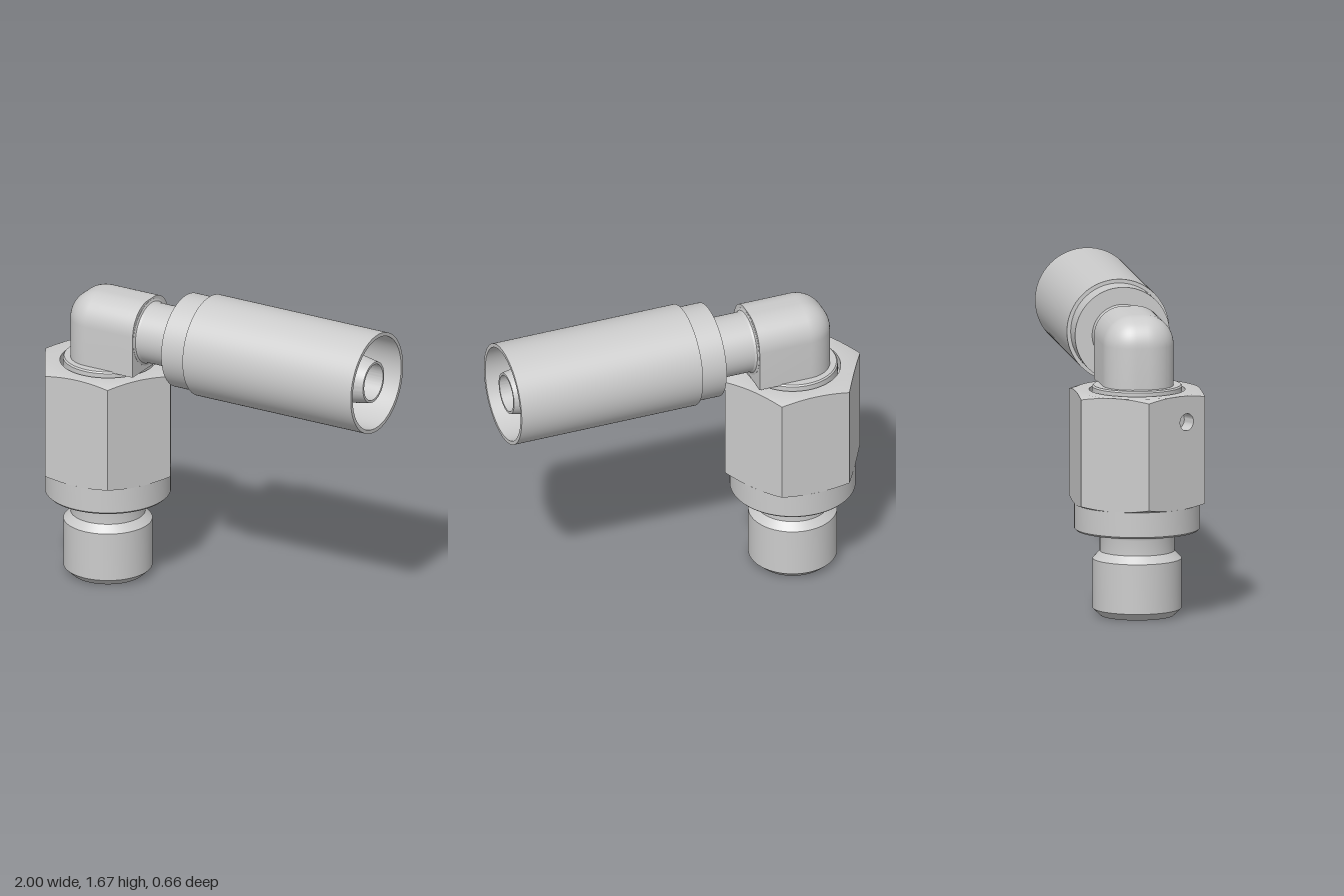
import * as THREE from 'three';
import { toCreasedNormals } from 'three/addons/utils/BufferGeometryUtils.js';
import { RoundedBoxGeometry } from 'three/addons/geometries/RoundedBoxGeometry.js';

const material = new THREE.MeshStandardMaterial({ color: 0xcccccc });
const AXIS_X = -0.622;   // vertical axis of the nut and threaded stub
const AXIS_Y = 1.4;      // horizontal axis of the hose end
const FLAT = 0.327;      // centre of the nut to each flat
const STEPS = 16;        // divisions along each flat
const CREASE = 0.45;

function part(name, geometry) {
  const mesh = new THREE.Mesh(toCreasedNormals(geometry, CREASE), material);
  mesh.name = name;
  return mesh;
}

function lathe(points, segments = 96) {
  return new THREE.LatheGeometry(points.map(([r, y]) => new THREE.Vector2(r, y)), segments);
}

// Turned part on the vertical axis
function upright(name, points) {
  const mesh = part(name, lathe(points));
  mesh.position.x = AXIS_X;
  return mesh;
}

// Turned part on the horizontal axis, profile given as [radius, x]
function sideways(name, points) {
  const mesh = part(name, lathe(points));
  mesh.rotation.z = -Math.PI / 2;
  mesh.position.y = AXIS_Y;
  return mesh;
}

// Height lost to the conical chamfer at a given radius
const chamferDrop = (r) => Math.max(0, r - FLAT) * 0.35;

// End face of the nut: the outer ring follows the hexagon and the chamfer cone
function nutEnd(name, points, y, sign) {
  const geometry = lathe(points, STEPS * 6);
  const pos = geometry.attributes.position;
  for (let i = 0; i < pos.count; i++) {
    const x = pos.getX(i), z = pos.getZ(i);
    if (Math.hypot(x, z) < FLAT + 0.01) continue;
    const a = Math.atan2(x, z), sector = Math.PI / 3;
    const r = FLAT / Math.cos(a - Math.round(a / sector) * sector);
    pos.setXYZ(i, r * Math.sin(a), y - sign * chamferDrop(r), r * Math.cos(a));
  }
  return part(name, geometry);
}

function createNut() {
  const nut = new THREE.Group();
  nut.name = 'hexNut';
  nut.position.x = AXIS_X;
  const bottom = 0.59, top = 1.19;
  const holeR = 0.045, holeU = 0.066, holeY = 1.05;

  // Six flats with arched ends, one of them drilled
  for (let k = 0; k < 6; k++) {
    const edge = (y, sign) => Array.from({ length: STEPS + 1 }, (_, i) => {
      const u = sign * FLAT * Math.tan((i / STEPS - 0.5) * Math.PI / 3);
      return new THREE.Vector2(u, y + sign * chamferDrop(Math.hypot(u, FLAT)));
    });
    const shape = new THREE.Shape([...edge(bottom, 1), ...edge(top, -1)]);
    const drilled = k === 5;
    if (drilled) shape.holes.push(new THREE.Path().absarc(holeU, holeY, holeR, 0, Math.PI * 2, true));
    const flat = part('nutFlat', new THREE.ShapeGeometry(shape, 16).translate(0, 0, FLAT));
    flat.rotation.y = k * Math.PI / 3;
    nut.add(flat);
    if (drilled) {
      const hole = part('drilledHole', lathe([[holeR, 0], [holeR, -0.075], [0, -0.075]], 32));
      hole.rotation.x = Math.PI / 2;
      hole.position.set(holeU, holeY, FLAT);
      flat.add(hole);
    }
  }
  nut.add(
    nutEnd('nutTop', [[0.4, top], [FLAT, top], [0.25, top], [0.25, 1.12], [0.2, 1.12]], top, 1),
    nutEnd('nutUnderside', [[0.2, bottom], [FLAT, bottom], [0.4, bottom]], bottom, -1),
  );
  return nut;
}

// Rounded block whose right end and underside are cut flat
function createElbow() {
  const r = 0.155, right = -0.365, bottom = 1.208;
  const min = new THREE.Vector3(AXIS_X - 0.185, bottom - r, -0.185);
  const max = new THREE.Vector3(right + r, 1.587, 0.185);
  const size = max.clone().sub(min), mid = min.clone().add(max).multiplyScalar(0.5);
  const geometry = new RoundedBoxGeometry(size.x, size.y, size.z, 8, r);
  geometry.translate(mid.x, mid.y, mid.z);
  const pos = geometry.attributes.position;
  for (let i = 0; i < pos.count; i++) {
    pos.setX(i, Math.min(pos.getX(i), right));
    pos.setY(i, Math.max(pos.getY(i), bottom));
  }
  return part('elbowBody', geometry);
}

export function createModel() {
  const model = new THREE.Group();
  model.name = 'elbowHoseFitting';

  // Threaded stub with bore, relief neck, fillet and sealing collar
  const fillet = [0, 1, 2, 3, 4].map((i) => {
    const a = i * Math.PI / 8;
    return [0.225 - 0.03 * Math.cos(a), 0.42 + 0.03 * Math.sin(a)];
  });
  model.add(upright('threadedStub', [
    [0, 1.1], [0.097, 1.1], [0.097, 0], [0.192, 0], [0.232, 0.038], [0.232, 0.3],
    [0.195, 0.34], ...fillet, [0.318, 0.45], [0.328, 0.46], [0.328, 0.592], [0.2, 0.592],
  ]));

  model.add(createNut());
  model.add(upright('swivelRing', [[0.235, 1.12], [0.235, 1.207], [0.228, 1.215], [0, 1.215]]));
  model.add(createElbow());

  // Pipe between the elbow and the sleeve
  model.add(sideways('pipe', [[0.178, -0.37], [0.178, -0.364], [0.166, -0.359], [0.16, -0.348], [0.16, -0.15]]));

  // Crimp sleeve, open at its end
  model.add(sideways('crimpSleeve', [
    [0.15, -0.155], [0.25, -0.155], [0.25, -0.015], [0.27, -0.015], [0.27, 1],
    [0.25, 1], [0.25, 0.2], [0.21, 0.08], [0.13, 0.08],
  ]));

  // Hose nipple inside the sleeve, with a blind bore
  model.add(sideways('hoseNipple', [
    [0.137, 0.07], [0.137, 0.83], [0.11, 0.98], [0.097, 0.98], [0.097, 0.1], [0, 0.05],
  ]));
  return model;
}
